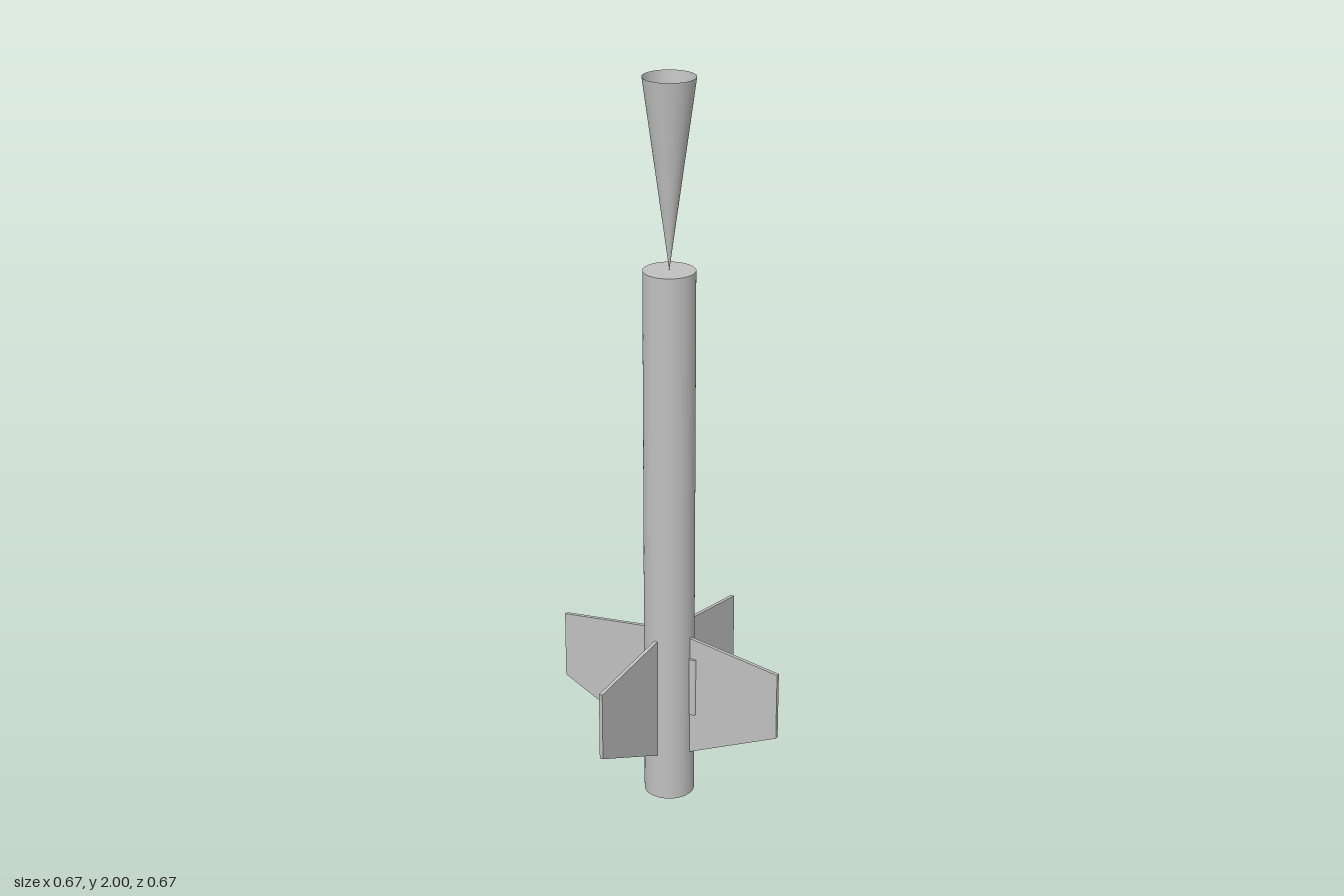
import * as THREE from 'three';

export function createModel() {
  const model = new THREE.Group();
  model.name = 'rocket';
  const grey = new THREE.MeshStandardMaterial({ color: 0xc0c0c0 });
  grey.name = 'grey';
  const greyShell = new THREE.MeshStandardMaterial({ color: 0xc0c0c0, side: THREE.DoubleSide });
  greyShell.name = 'grey shell';

  const add = (name, geometry, material = grey) => {
    const mesh = new THREE.Mesh(geometry, material);
    mesh.name = name;
    model.add(mesh);
    return mesh;
  };

  const radius = 0.068, bodyTop = 1.503;

  // Body tube, closed at both ends
  add('bodyTube', new THREE.CylinderGeometry(radius, radius, bodyTop, 64)).position.y = bodyTop / 2;

  // Open hollow cone standing on its tip
  const coneHeight = 2 - bodyTop;
  add('cone', new THREE.CylinderGeometry(radius, 0, coneHeight, 64, 8, true), greyShell)
    .position.y = bodyTop + coneHeight / 2;

  // Four swept fins, slightly sunk into the tube
  const thickness = 0.01;
  const outline = new THREE.Shape([
    [0.06, 0.128], [0.336, 0.255], [0.336, 0.445], [0.06, 0.481],
  ].map(([x, y]) => new THREE.Vector2(x, y)));
  const finGeometry = new THREE.ExtrudeGeometry(outline, { depth: thickness, bevelEnabled: false });
  finGeometry.translate(0, 0, -thickness / 2);
  for (let i = 0; i < 4; i++) {
    add('fin', finGeometry).rotation.y = i * Math.PI / 2;
  }

  // Small launch lug beside the left fin
  add('launchLug', new THREE.CylinderGeometry(0.012, 0.012, 0.168, 32)).position.set(0.076, 0.336, 0);

  return model;
}
